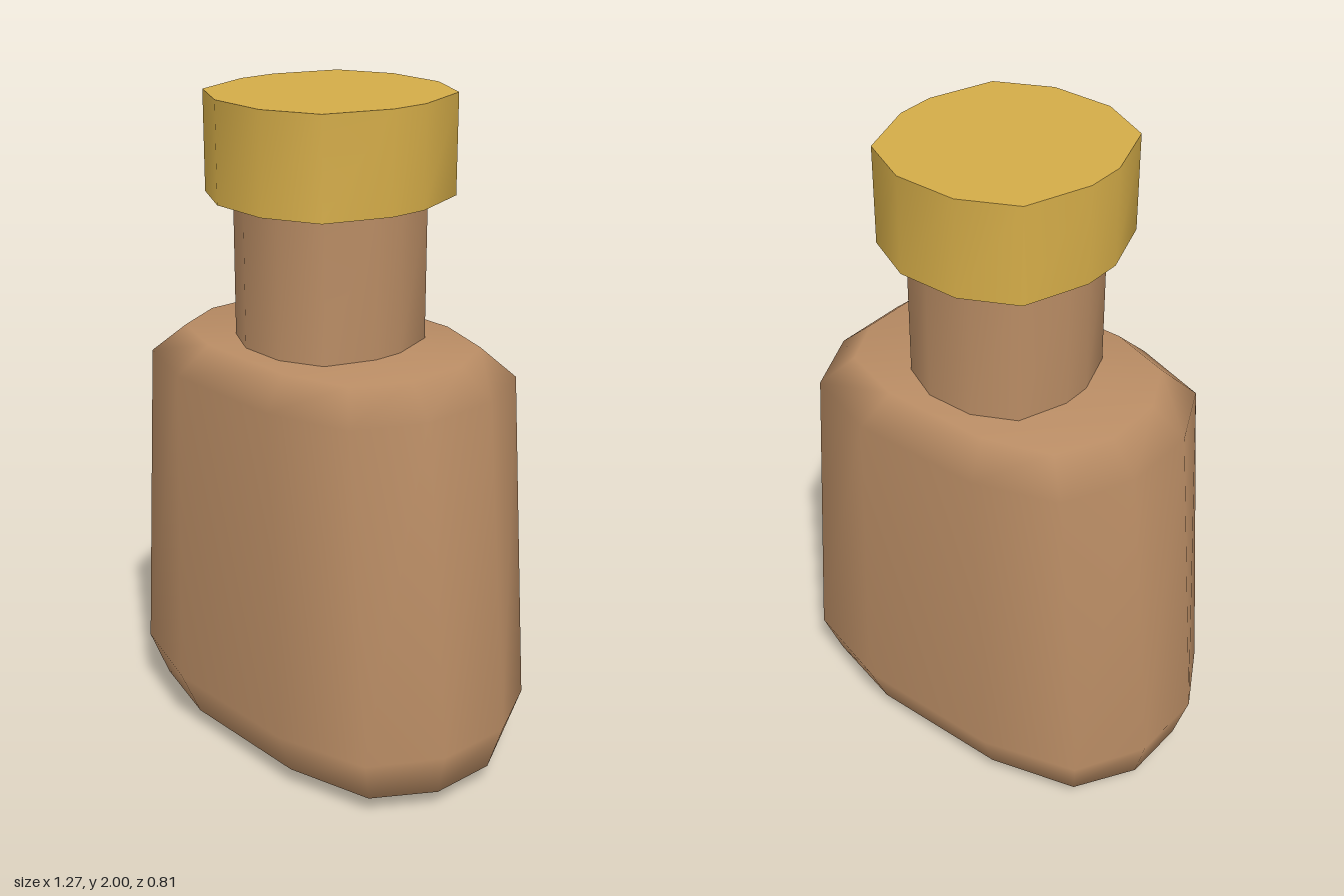
import * as THREE from 'three';
import { toCreasedNormals } from 'three/addons/utils/BufferGeometryUtils.js';

// Quarter of a twelve-sided outline, mirrored round both axes
function outline(quarter) {
  const back = quarter.slice().reverse();
  return [
    ...quarter,
    ...back.map(([x, z]) => [-x, z]),
    ...quarter.map(([x, z]) => [-x, -z]),
    ...back.map(([x, z]) => [x, -z]),
  ];
}

// Skin over scaled copies of an outline; rings are [y, half width, half depth]
function loft(points, rings) {
  const n = points.length, pos = [], index = [];
  for (const [y, w, d] of rings) {
    for (const [x, z] of points) pos.push(x * w, y, z * d);
  }
  for (let r = 0; r < rings.length - 1; r++) {
    for (let i = 0; i < n; i++) {
      const a = r * n + i, b = r * n + (i + 1) % n;
      if (rings[r][1] > 0) index.push(a, a + n, b);
      if (rings[r + 1][1] > 0) index.push(b, a + n, b + n);
    }
  }
  const geo = new THREE.BufferGeometry();
  geo.setAttribute('position', new THREE.Float32BufferAttribute(pos, 3));
  geo.setIndex(index);
  geo.computeVertexNormals();
  return geo;
}

export function createModel() {
  const group = new THREE.Group();
  const brown = new THREE.MeshStandardMaterial({ name: 'warm brown', color: 0xb98c64 });
  const gold = new THREE.MeshStandardMaterial({ name: 'gold', color: 0xd4ac48 });

  const add = (name, geo, material) => {
    const mesh = new THREE.Mesh(geo, material);
    mesh.name = name;
    group.add(mesh);
  };

  const bodyShape = outline([[1, 0.295], [0.82, 0.795], [0.375, 1]]);
  const roundShape = outline([[1, 0.18], [0.79, 0.76], [0.295, 1]]);

  // Flattened flask body, smooth all over
  add('body', loft(bodyShape, [
    [0, 0, 0],
    [0, 0.46, 0.21],
    [0.06, 0.595, 0.35],
    [0.2, 0.636, 0.407],
    [1.2, 0.541, 0.407],
    [1.285, 0.445, 0.32],
    [1.285, 0, 0],
  ]), brown);

  // Neck and stopper, smooth sides with sharp rims
  const drum = (y0, y1, w, d) => toCreasedNormals(
    loft(roundShape, [[y0, 0, 0], [y0, w, d], [y1, w, d], [y1, 0, 0]]), 1);
  add('neck', drum(1.27, 1.72, 0.25, 0.256), brown);
  add('stopper', drum(1.71, 2, 0.322, 0.33), gold);

  return group;
}
